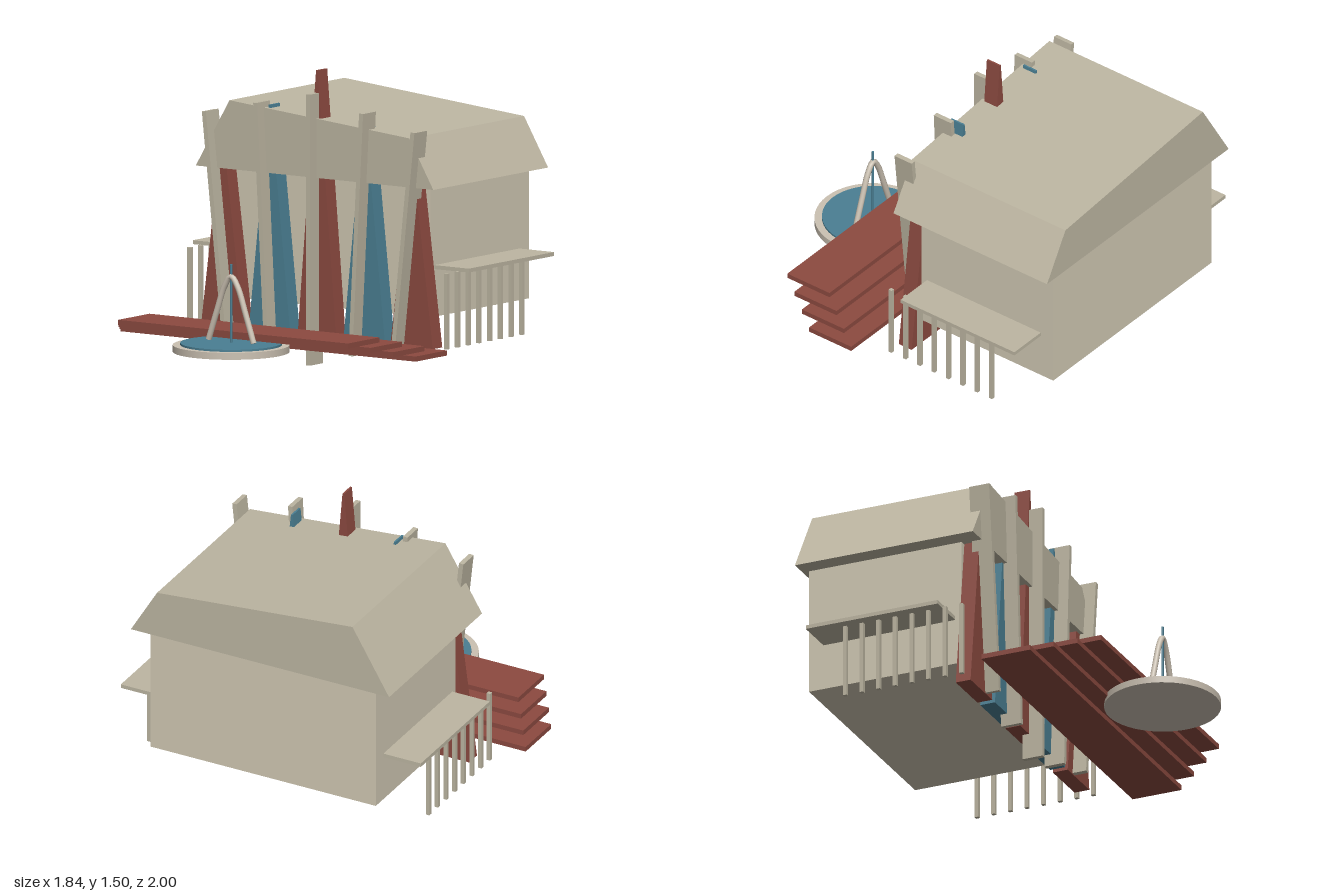
import * as THREE from 'three';

const mat = (color) => new THREE.MeshStandardMaterial({ color });

export function createModel() {
  const model = new THREE.Group();
  const roofMat = mat(0xbdb6a2), wallMat = mat(0xd0c8b3), rimMat = mat(0xcbc1b2);
  const redMat = mat(0x8c4a40), blueMat = mat(0x4a7f93);

  const add = (name, geometry, material, parent = model) => {
    const mesh = new THREE.Mesh(geometry, material);
    mesh.name = name;
    parent.add(mesh);
    return mesh;
  };
  const group = (name) => {
    const g = new THREE.Group();
    g.name = name;
    model.add(g);
    return g;
  };
  // Box given by its limits on each axis
  const box = (name, [x0, x1], [y0, y1], [z0, z1], material, parent) => {
    const g = new THREE.BoxGeometry(x1 - x0, y1 - y0, z1 - z0);
    g.translate((x0 + x1) / 2, (y0 + y1) / 2, (z0 + z1) / 2);
    return add(name, g, material, parent);
  };
  // Front outline extruded from z0 to z1
  const slab = (name, points, z0, z1, material, parent) => {
    const shape = new THREE.Shape(points.map(([x, y]) => new THREE.Vector2(x, y)));
    const g = new THREE.ExtrudeGeometry(shape, { depth: z1 - z0, bevelEnabled: false });
    g.translate(0, 0, z0);
    return add(name, g, material, parent);
  };

  // House body and lopsided hipped roof
  box('houseBody', [-0.645, 0.645], [0.28, 0.96], [-0.96, -0.115], wallMat);
  slab('roof', [[-0.74, 0.95], [0.74, 0.95], [0.59, 1.2], [-0.53, 1.3]], -0.995, -0.01, roofMat);

  // Tapered facade fins: centre x, half width at foot, top height
  const fins = group('facadeFins');
  const finSpecs = [
    [0, 0.12, 1.495, redMat],
    [-0.295, 0.13, 1.295, blueMat], [0.295, 0.13, 1.295, blueMat],
    [-0.59, 0.132, 1.12, redMat], [0.59, 0.132, 1.12, redMat],
  ];
  for (const [x, w, top, material] of finSpecs) {
    const t = 0.005;
    slab('fin', [[x - w, 0.135], [x + w, 0.135], [x + t, top], [x - t, top]], -0.112, -0.03, material, fins);
  }

  // Leaning posts: foot x, foot y, top x, top y
  const posts = group('leaningPosts');
  const postSpecs = [
    [0, 0, 0, 1.38],
    [0.263, 0.07, 0.33, 1.31], [-0.263, 0.07, -0.33, 1.31],
    [0.53, 0.14, 0.65, 1.24], [-0.53, 0.14, -0.65, 1.24],
  ];
  for (const [x0, y0, x1, y1] of postSpecs) {
    const post = add('post', new THREE.BoxGeometry(0.025, Math.hypot(x1 - x0, y1 - y0), 0.11), roofMat, posts);
    post.position.set((x0 + x1) / 2, (y0 + y1) / 2, -0.01);
    post.rotation.z = -Math.atan2(x1 - x0, y1 - y0);
  }

  // Side balconies on rows of thin supports
  for (const s of [-1, 1]) {
    const balcony = group(s > 0 ? 'leftBalcony' : 'rightBalcony');
    const deck = add('deck', new THREE.BoxGeometry(0.24, 0.02, 0.73), roofMat, balcony);
    deck.position.set(s * 0.74, 0.533, -0.515);
    for (let i = 0; i < 8; i++) {
      const support = add('support', new THREE.BoxGeometry(0.02, 0.385, 0.02), roofMat, balcony);
      support.position.set(s * 0.8, 0.3325, -0.043 - i * 0.092);
    }
  }

  // Steps, each narrower and further forward than the one below
  const steps = group('steps');
  [0.92, 0.852, 0.785, 0.716].forEach((w, i) => {
    const y = 0.137 + i * 0.028, z = 0.12 + i * 0.1;
    box('step', [-w, w], [y, y + 0.026], [z, z + 0.27], redMat, steps);
  });

  // Round pool with an arch and a thin jet
  const fountain = group('fountain');
  fountain.position.z = 0.705;
  add('basin', new THREE.CylinderGeometry(0.295, 0.295, 0.035, 48), rimMat, fountain).position.y = 0.165;
  add('water', new THREE.CylinderGeometry(0.257, 0.257, 0.012, 48), blueMat, fountain).position.y = 0.187;
  const path = new THREE.CatmullRomCurve3(
    [[-0.14, 0.2], [-0.09, 0.345], [-0.04, 0.48], [0, 0.53], [0.04, 0.48], [0.09, 0.345], [0.14, 0.2]]
      .map(([x, y]) => new THREE.Vector3(x, y, 0)));
  add('arch', new THREE.TubeGeometry(path, 40, 0.015, 12), rimMat, fountain);
  // Caps closing the arch ends
  for (const t of [0, 1]) {
    const cap = add('archEnd', new THREE.CircleGeometry(0.015, 12), rimMat, fountain);
    const p = path.getPointAt(t), d = path.getTangentAt(t).multiplyScalar(t ? 1 : -1);
    cap.position.copy(p);
    cap.quaternion.setFromUnitVectors(new THREE.Vector3(0, 0, 1), d);
  }
  add('jet', new THREE.CylinderGeometry(0.006, 0.006, 0.4, 10), blueMat, fountain).position.y = 0.392;

  return model;
}
